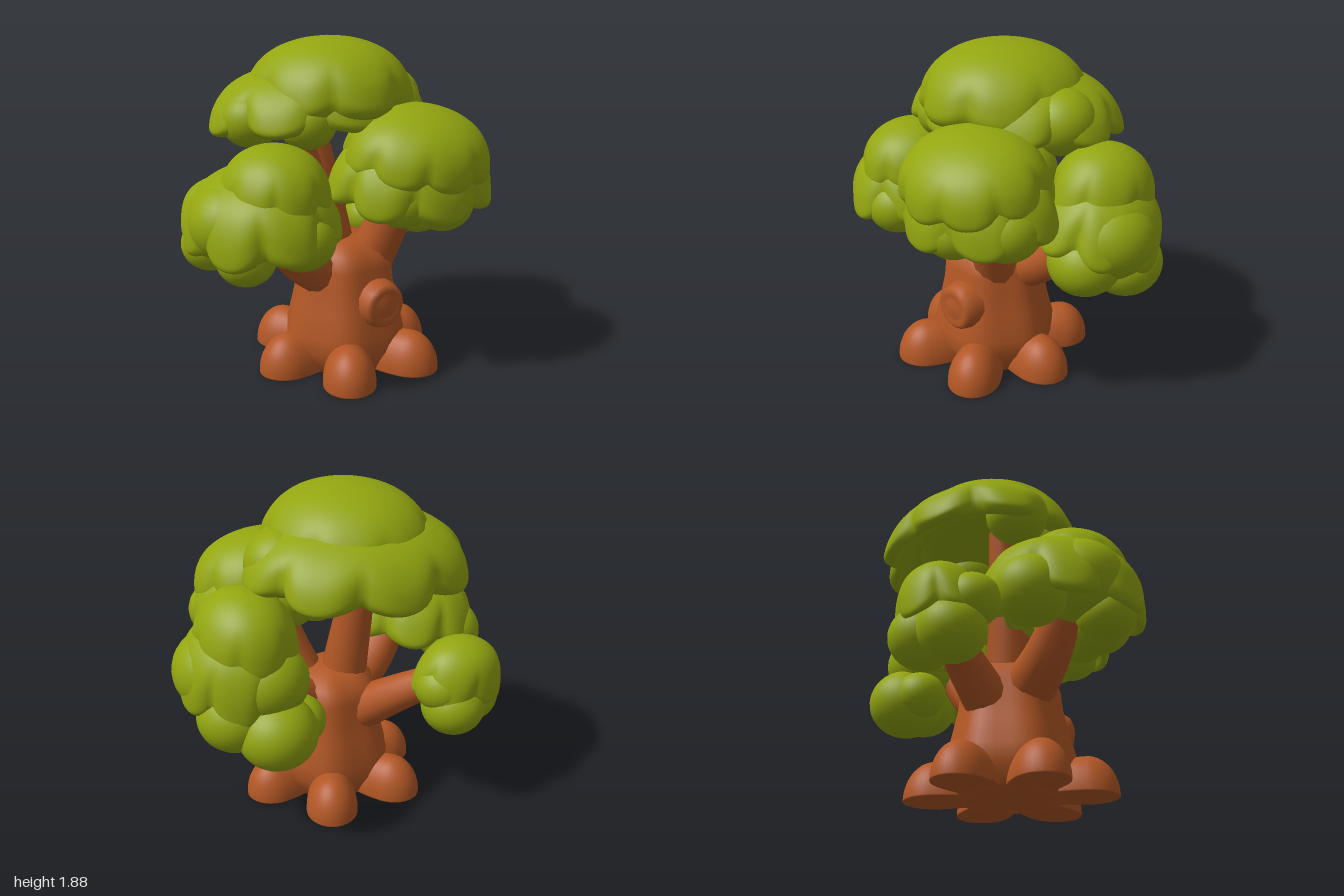
import * as THREE from 'three';
import { mergeVertices } from 'three/addons/utils/BufferGeometryUtils.js';

const bark = new THREE.MeshStandardMaterial({ color: 0xb25725 });
bark.name = 'bark';
const leaf = new THREE.MeshStandardMaterial({ color: 0x93a510 });
leaf.name = 'leaf';

const points2 = (list) => list.map(([x, y]) => new THREE.Vector2(x, y));

function add(parent, name, geometry, material, position = [0, 0, 0], rotation = [0, 0, 0]) {
  const mesh = new THREE.Mesh(geometry, material);
  mesh.name = name;
  mesh.position.set(...position);
  mesh.rotation.set(...rotation);
  parent.add(mesh);
  return mesh;
}

// Move every vertex by a rule, weld the seam and smooth the normals.
function reshape(geometry, rule) {
  geometry.deleteAttribute('uv');
  geometry.deleteAttribute('normal');
  const pos = geometry.attributes.position;
  const v = new THREE.Vector3();
  for (let i = 0; i < pos.count; i++) {
    v.fromBufferAttribute(pos, i);
    rule(v);
    pos.setXYZ(i, v.x, v.y, v.z);
  }
  const welded = mergeVertices(geometry, 1e-4);
  welded.computeVertexNormals();
  return welded;
}

// Umbrella of leaves: hollow underside, scalloped hem, domed top.
const canopyProfile = new THREE.SplineCurve(points2([
  [0, 0.2], [0.5, 0.08], [0.8, -0.2], [0.92, -0.3], [1, -0.12], [1, 0.08],
  [0.94, 0.35], [0.8, 0.6], [0.58, 0.81], [0.3, 0.95], [0, 1]
])).getPoints(44);

function leafLayer(parent, name, centre, radii, lobes, tilt, depth, drop) {
  const geometry = reshape(new THREE.LatheGeometry(canopyProfile, 96), (v) => {
    const r = Math.hypot(v.x, v.z);
    const lobe = Math.abs(Math.cos(Math.atan2(v.x, v.z) * lobes / 2 + 0.3));
    const s = 1 - depth * (1 - lobe) ** 1.5 * r ** 4;
    v.set(v.x * s * radii[0], (v.y - drop * lobe * r ** 6) * radii[1], v.z * s * radii[2]);
  });
  add(parent, name, geometry, leaf, centre, [tilt[0], 0, tilt[1]]);
}
const skirt = (parent, ...shape) => leafLayer(parent, 'leafSkirt', ...shape, 0.13, 0.3);
const cap = (parent, ...shape) => leafLayer(parent, 'leafCap', ...shape, 0.08, 0.16);

// Round clumps of leaves, each given as x, y, z and radius.
const puffGeometry = new THREE.SphereGeometry(1, 32, 20);
function puffs(parent, ...list) {
  for (const [x, y, z, r] of list) {
    add(parent, 'leafPuff', puffGeometry, leaf, [x, y, z]).scale.set(r, r * 0.92, r);
  }
}

// Tapered tube through a few points.
function branch(parent, name, r0, r1, ...points) {
  const curve = new THREE.CatmullRomCurve3(points.map((p) => new THREE.Vector3(...p)));
  const seg = 18, sides = 14;
  const geometry = new THREE.TubeGeometry(curve, seg, 1, sides, false);
  const pos = geometry.attributes.position;
  const v = new THREE.Vector3();
  for (let i = 0; i < pos.count; i++) {
    const t = Math.floor(i / (sides + 1)) / seg;
    const c = curve.getPointAt(t);
    v.fromBufferAttribute(pos, i).sub(c).multiplyScalar(r0 + (r1 - r0) * t).add(c);
    pos.setXYZ(i, v.x, v.y, v.z);
  }
  add(parent, name, geometry, bark);
}

export function createModel() {
  const tree = new THREE.Group();
  tree.name = 'tree';
  const group = (name) => {
    const g = new THREE.Group();
    g.name = name;
    tree.add(g);
    return g;
  };

  // Trunk, gently fluted between the roots
  const trunkProfile = points2([[0, 0], [0.3, 0], [0.35, 0.12], [0.35, 0.22], [0.315, 0.36], [0.285, 0.5],
    [0.275, 0.6], [0.25, 0.69], [0.16, 0.75], [0, 0.77]]);
  const trunk = reshape(new THREE.LatheGeometry(trunkProfile, 48), (v) => {
    const flute = 1 - 0.035 * Math.cos(6 * Math.atan2(v.x, v.z));
    v.x *= flute;
    v.z *= flute;
  });
  add(tree, 'trunk', trunk, bark, [-0.02, 0, 0.03]);

  // Six finger-like roots: rounded tip, long body running into the trunk
  const roots = group('roots');
  for (let i = 0; i < 6; i++) {
    const angle = (i + 0.5) * Math.PI / 3;
    const reach = 0.56 + 0.03 * Math.abs(Math.cos(angle));
    const root = reshape(new THREE.SphereGeometry(1, 32, 24), (v) => {
      const length = v.z > 0 ? 0.17 : 0.32;
      v.set(v.x * 0.15, Math.max(0.003, v.y * 0.215 + 0.01), v.z * length + reach - 0.17);
    });
    add(roots, 'root', root, bark, [-0.02, 0, 0.03], [0, angle, 0]);
  }

  // Cut knot on the front of the trunk
  const knotProfile = points2([[0.15, -0.1], [0.14, 0.02], [0.125, 0.07], [0.1, 0.09], [0.08, 0.075], [0.06, 0.085], [0, 0.09]]);
  add(tree, 'knot', new THREE.LatheGeometry(knotProfile, 16), bark, [0.02, 0.41, 0.31], [Math.PI / 2, 0, 0]);

  // Branches
  const limbs = group('branches');
  branch(limbs, 'topBranch', 0.15, 0.07, [-0.06, 0.5, 0], [-0.12, 0.9, -0.02], [-0.2, 1.6, -0.1]);
  branch(limbs, 'sideBranch', 0.06, 0.06, [-0.13, 0.95, 0], [-0.22, 1.15, 0.02], [-0.37, 1.56, 0.02]);
  branch(limbs, 'frontBranch', 0.15, 0.08, [0.06, 0.52, 0.08], [0.15, 0.83, 0.21], [0.22, 1.24, 0.36]);
  branch(limbs, 'rightBranch', 0.16, 0.09, [-0.1, 0.52, 0.04], [-0.37, 0.7, 0.09], [-0.6, 1.0, 0.13]);
  branch(limbs, 'leftBranch', 0.14, 0.09, [0.08, 0.55, 0], [0.37, 0.72, -0.06], [0.58, 1.0, -0.14]);
  branch(limbs, 'backBranch', 0.14, 0.08, [-0.08, 0.45, -0.08], [-0.26, 0.66, -0.34], [-0.45, 0.82, -0.56]);

  // Top foliage
  const top = group('topFoliage');
  skirt(top, [-0.06, 1.49, -0.19], [0.65, 0.25, 0.55], 8, [-0.08, 0.02]);
  cap(top, [-0.05, 1.58, -0.09], [0.47, 0.3, 0.49], 7, [-0.04, 0]);
  puffs(top, [-0.52, 1.45, -0.14, 0.17], [0.36, 1.5, -0.1, 0.2], [-0.32, 1.45, 0.12, 0.16]);

  // Front foliage
  const front = group('frontFoliage');
  skirt(front, [0.2, 1.14, 0.36], [0.48, 0.27, 0.41], 7, [0.16, 0]);
  cap(front, [0.21, 1.28, 0.4], [0.42, 0.25, 0.38], 8, [0.22, -0.03]);
  puffs(front, [0.02, 1.06, 0.52, 0.16], [0.25, 1.05, 0.57, 0.17], [0.48, 1.08, 0.42, 0.19], [0.24, 1.24, 0.13, 0.24]);

  // Right foliage
  const right = group('rightFoliage');
  skirt(right, [-0.6, 0.97, 0.09], [0.41, 0.28, 0.46], 7, [0.05, 0.14]);
  cap(right, [-0.56, 1.13, 0.18], [0.29, 0.24, 0.31], 7, [0.08, 0.03]);
  puffs(right, [-0.77, 0.81, 0.24, 0.16], [-0.77, 0.97, 0.1, 0.23], [-0.5, 0.89, 0.35, 0.18],
    [-0.34, 0.93, 0.2, 0.15], [-0.73, 0.88, -0.16, 0.2]);

  // Left foliage
  const left = group('leftFoliage');
  skirt(left, [0.64, 0.98, -0.13], [0.34, 0.3, 0.37], 7, [-0.2, -0.1]);
  cap(left, [0.62, 1.16, -0.16], [0.27, 0.27, 0.31], 6, [-0.12, -0.06]);
  puffs(left, [0.73, 0.97, -0.08, 0.26], [0.69, 0.84, 0.05, 0.2], [0.73, 0.76, -0.24, 0.21],
    [0.57, 0.69, -0.4, 0.22], [0.57, 0.95, -0.29, 0.23], [0.42, 0.7, -0.36, 0.15]);

  // Back foliage
  const back = group('backFoliage');
  skirt(back, [-0.5, 0.82, -0.57], [0.27, 0.22, 0.22], 5, [-0.15, 0.05]);
  puffs(back, [-0.43, 0.66, -0.62, 0.18], [-0.6, 0.65, -0.53, 0.18], [-0.66, 0.8, -0.45, 0.15], [-0.38, 0.78, -0.58, 0.16]);

  return tree;
}
